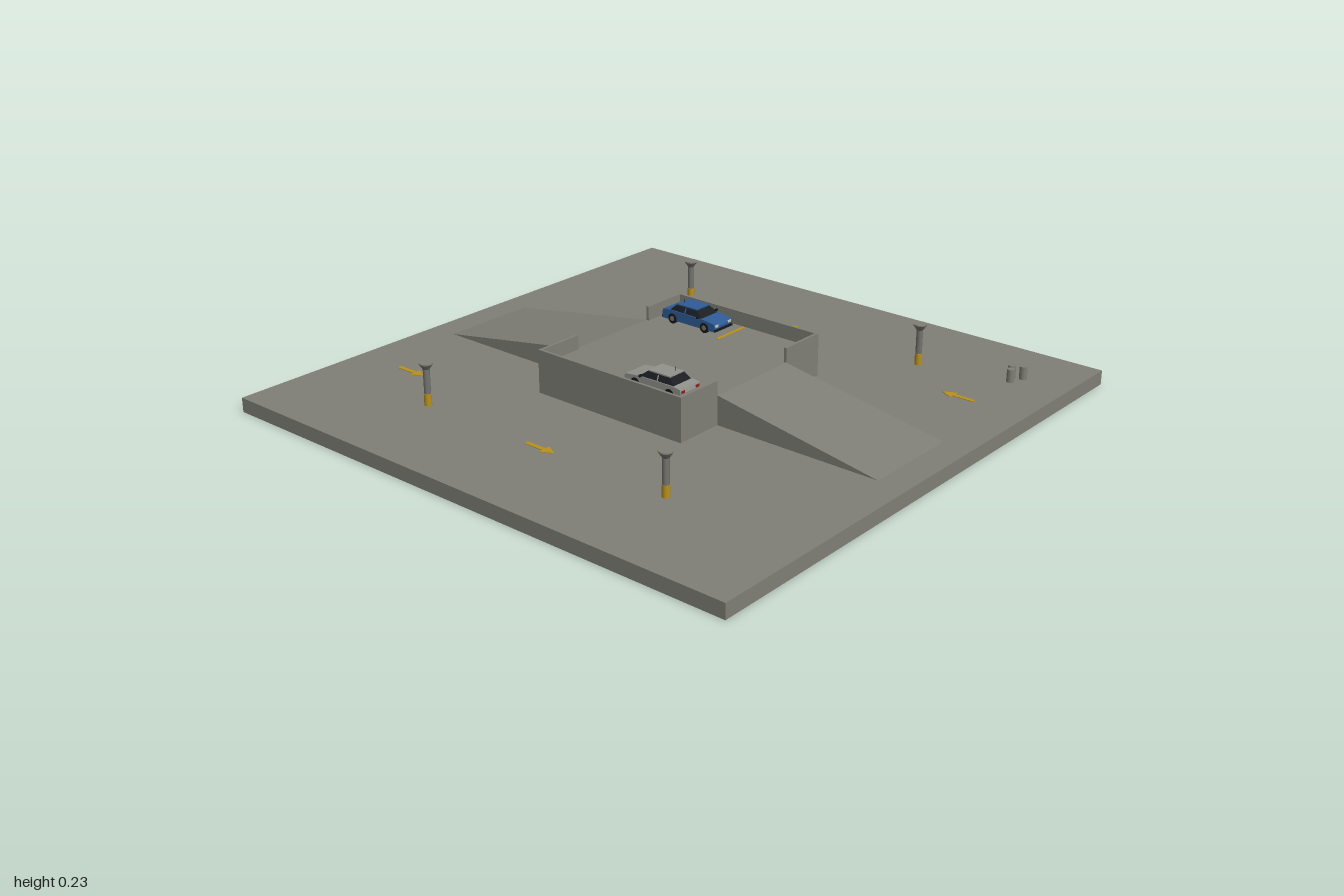
import * as THREE from 'three';

const mat = (name, color) => {
  const m = new THREE.MeshStandardMaterial({ color });
  m.name = name;
  return m;
};

export function createModel() {
  const concrete = mat('concrete', 0x7f7f77);
  const metal = mat('metal', 0x73736e);
  const yellow = mat('yellow paint', 0xb8901e);
  const blue = mat('blue paint', 0x2f5c98);
  const silver = mat('silver paint', 0x92928d);
  const glass = mat('dark glass', 0x1b1f22);
  const rubber = mat('rubber', 0x18181a);
  const lamp = mat('headlamp', 0xc8c6b4);
  const tail = mat('tail lamp', 0x8a1f1a);

  const root = new THREE.Group();
  root.name = 'raisedParkingDeck';

  const add = (parent, name, geo, material, x = 0, y = 0, z = 0) => {
    const mesh = new THREE.Mesh(geo, material);
    mesh.name = name;
    mesh.position.set(x, y, z);
    parent.add(mesh);
    return mesh;
  };
  const box = (parent, name, w, h, d, material, x, y, z) =>
    add(parent, name, new THREE.BoxGeometry(w, h, d), material, x, y, z);
  const group = (name, x, y, z) => {
    const g = new THREE.Group();
    g.name = name;
    g.position.set(x, y, z);
    root.add(g);
    return g;
  };
  // Side outline in x,y pulled across z
  const extrude = (points, depth) =>
    new THREE.ExtrudeGeometry(new THREE.Shape(points.map(p => new THREE.Vector2(...p))),
      { depth, bevelEnabled: false }).translate(0, 0, -depth / 2);

  // Ground slab and the ramped roadway
  box(root, 'groundSlab', 2, 0.05, 2, concrete, 0, 0.025, 0);
  add(root, 'rampRoadway',
    extrude([[-0.9, 0.05], [0.9, 0.05], [0.3, 0.15], [-0.3, 0.15]], 0.35), concrete);

  // Parking bays beside the roadway, with parapets and painted lines
  for (const s of [1, -1]) {
    box(root, 'parkingBay', 0.6, 0.1, 0.175, concrete, 0, 0.1, s * 0.2625);
    box(root, 'sideParapet', 0.6, 0.05, 0.01, concrete, 0, 0.175, s * 0.345);
    for (const e of [1, -1])
      box(root, 'endParapet', 0.01, 0.05, 0.165, concrete, e * 0.295, 0.175, s * 0.2575);
    for (const x of [0, 0.284])
      box(root, 'bayLine', 0.012, 0.002, 0.145, yellow, x, 0.151, s * 0.2625);
  }

  // Painted direction arrows
  const arrowGeo = extrude([[-0.06, -0.008], [0.015, -0.008], [0.015, -0.023], [0.06, 0],
    [0.015, 0.023], [0.015, 0.008], [-0.06, 0.008]], 0.002).rotateX(-Math.PI / 2);
  for (const [x, z] of [[0, -0.65], [0.75, -0.5], [-0.75, 0.5], [0, 0.65]]) {
    const arrow = add(root, 'directionArrow', arrowGeo, yellow, x, 0.051, z);
    if (z < 0) arrow.rotation.y = Math.PI;
  }

  // Lamp posts with painted feet and flared heads
  for (const x of [-0.5, 0.5]) for (const z of [-0.65, 0.65]) {
    const post = group('lampPost', x, 0.05, z);
    add(post, 'postFoot', new THREE.CylinderGeometry(0.0125, 0.0125, 0.04, 16), yellow, 0, 0.02, 0);
    add(post, 'postShaft', new THREE.CylinderGeometry(0.011, 0.011, 0.09, 16), metal, 0, 0.085, 0);
    add(post, 'postHead', new THREE.CylinderGeometry(0.023, 0.011, 0.018, 16), metal, 0, 0.133, 0);
    add(post, 'postCap', new THREE.CylinderGeometry(0.023, 0.023, 0.004, 16), concrete, 0, 0.144, 0);
  }

  // Cluster of barrels
  for (const [x, z] of [[0.8, -0.75], [0.834, -0.766], [0.814, -0.718]]) {
    const barrel = group('barrel', x, 0.05, z);
    add(barrel, 'barrelBody', new THREE.CylinderGeometry(0.013, 0.013, 0.045, 16), concrete, 0, 0.0225, 0);
  }

  // Car facing +x, standing on y = 0
  const makeCar = (name, paint, x, z, turn) => {
    const car = group(name, x, 0.15, z);
    car.rotation.y = turn;
    add(car, 'carBody', extrude([[-0.115, 0.012], [0.113, 0.012], [0.115, 0.03], [0.11, 0.04],
      [0.055, 0.046], [-0.085, 0.047], [-0.112, 0.044], [-0.116, 0.03]], 0.092), paint);

    // Glass cabin: a box narrowed at the top
    const cabin = new THREE.BoxGeometry(1, 0.021, 1);
    const p = cabin.attributes.position;
    for (let i = 0; i < p.count; i++) {
      const top = p.getY(i) > 0, front = p.getX(i) > 0;
      p.setX(i, top ? (front ? 0.027 : -0.062) : (front ? 0.056 : -0.086));
      p.setZ(i, Math.sign(p.getZ(i)) * (top ? 0.034 : 0.043));
    }
    cabin.computeVertexNormals();
    add(car, 'cabinGlass', cabin, glass, 0, 0.0555, 0);
    box(car, 'roof', 0.088, 0.004, 0.066, paint, -0.0175, 0.068, 0);
    add(car, 'antenna', new THREE.CylinderGeometry(0.0008, 0.0008, 0.016, 6), rubber, -0.045, 0.077, 0.012);

    for (const s of [1, -1]) {
      for (const wx of [-0.07, 0.07]) {
        const wheel = add(car, 'wheel', new THREE.CylinderGeometry(0.018, 0.018, 0.012, 16),
          rubber, wx, 0.018, s * 0.0415);
        wheel.rotation.x = Math.PI / 2;
        const hub = add(car, 'wheelHub', new THREE.CylinderGeometry(0.009, 0.009, 0.002, 12),
          metal, wx, 0.018, s * 0.048);
        hub.rotation.x = Math.PI / 2;
      }
      box(car, 'doorPillar', 0.004, 0.018, 0.003, paint, -0.018, 0.056, s * 0.0385).rotation.x = -s * 0.4;
      box(car, 'mirror', 0.006, 0.007, 0.012, rubber, 0.045, 0.05, s * 0.049);
      box(car, 'headlamp', 0.004, 0.008, 0.016, lamp, 0.1135, 0.031, s * 0.034);
      box(car, 'tailLamp', 0.004, 0.008, 0.016, tail, -0.1145, 0.034, s * 0.034);
    }
    for (const e of [1, -1])
      box(car, 'bumper', 0.006, 0.008, 0.092, rubber, e * 0.115, 0.017, 0);
  };
  makeCar('blueCar', blue, -0.14, -0.253, 0);
  makeCar('silverCar', silver, 0.138, 0.25, Math.PI);

  return root;
}
